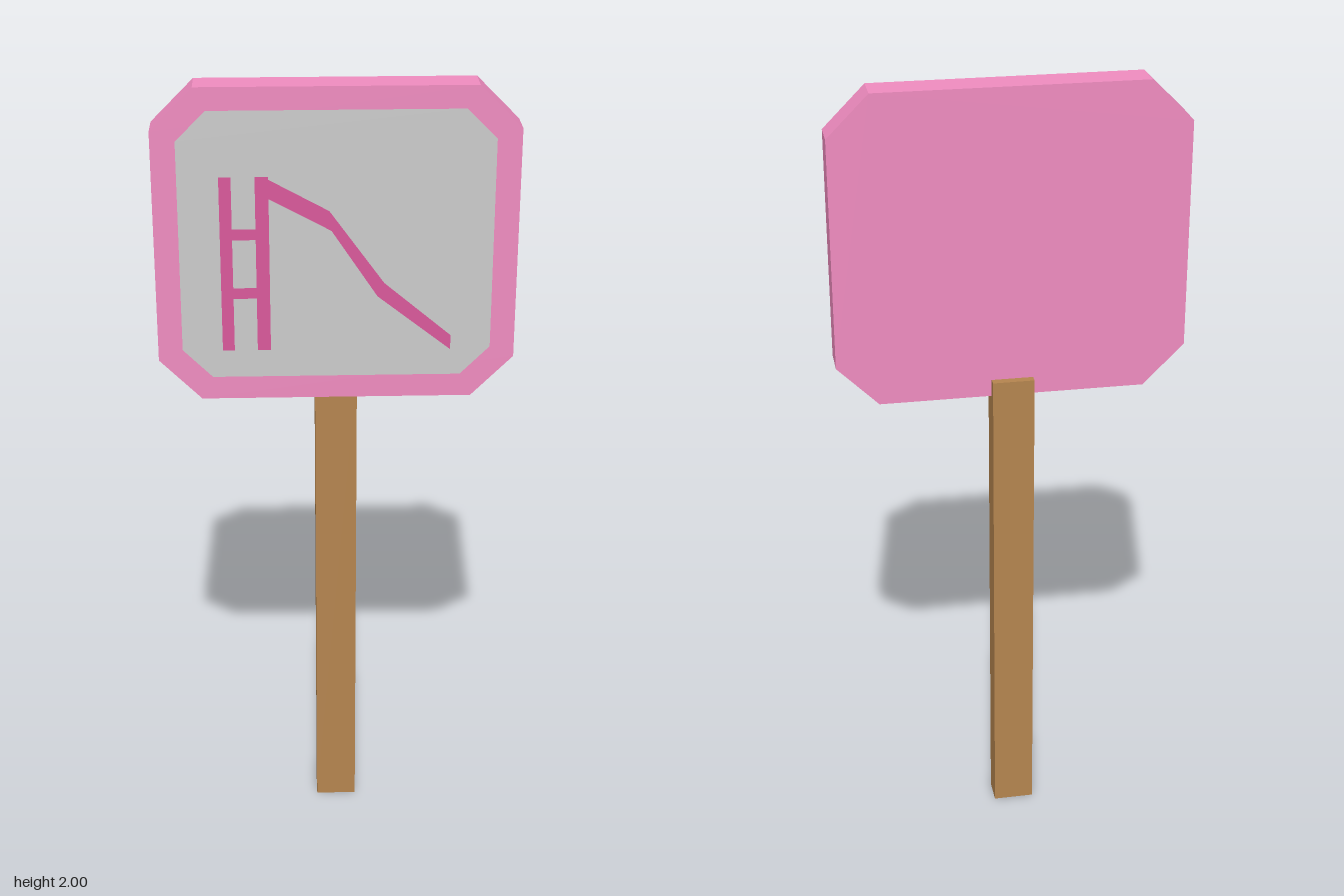
import * as THREE from 'three';

const FRONT = 0.052, BACK = -0.033;

const paint = (color) => new THREE.MeshStandardMaterial({ color, flatShading: true });

const polygon = (points) => new THREE.Shape(points.map(([x, y]) => new THREE.Vector2(x, y)));

// Rectangle with cut corners, centred on x = 0
function octagon(halfWidth, bottom, top, cut) {
  const w = halfWidth, c = halfWidth - cut;
  return polygon([
    [-c, bottom], [c, bottom], [w, bottom + cut], [w, top - cut],
    [c, top], [-c, top], [-w, top - cut], [-w, bottom + cut],
  ]);
}

function bar(x0, x1, y0, y1) {
  return polygon([[x0, y0], [x1, y0], [x1, y1], [x0, y1]]);
}

function add(group, name, geometry, material, z = 0) {
  const mesh = new THREE.Mesh(geometry, material);
  mesh.name = name;
  mesh.position.z = z;
  group.add(mesh);
  return mesh;
}

export function createModel() {
  const model = new THREE.Group();
  model.name = 'playgroundSign';
  const pink = paint(0xf08cc0), darkPink = paint(0xd9589b);
  const grey = paint(0xcccccc), wood = paint(0xb5854f);

  // Wooden post, let into the back of the board
  const post = add(model, 'post', new THREE.BoxGeometry(0.104, 1.265, 0.068), wood);
  post.position.set(0, 0.6325, -0.02);

  // Board with cut corners
  const board = new THREE.ExtrudeGeometry(octagon(0.434, 1.222, 2, 0.103),
    { depth: FRONT - BACK, bevelEnabled: false });
  add(model, 'board', board, pink, BACK);

  // Inset face panel
  add(model, 'panel', new THREE.ShapeGeometry(octagon(0.375, 1.28, 1.945, 0.072)), grey, FRONT + 0.001);

  // Slide pictogram: ladder rails, rungs and chute
  const pictogram = new THREE.Group();
  pictogram.name = 'slidePictogram';
  pictogram.position.z = FRONT + 0.002;
  model.add(pictogram);
  for (const [x0, x1] of [[-0.277, -0.248], [-0.192, -0.16]]) {
    add(pictogram, 'ladderRail', new THREE.ShapeGeometry(bar(x0, x1, 1.35, 1.787)), darkPink);
  }
  for (const y of [1.484, 1.632]) {
    add(pictogram, 'rung', new THREE.ShapeGeometry(bar(-0.248, -0.192, y, y + 0.027)), darkPink);
  }
  const chute = polygon([
    [-0.16, 1.733], [-0.012, 1.653], [0.099, 1.486], [0.278, 1.346],
    [0.278, 1.383], [0.115, 1.52], [-0.017, 1.702], [-0.16, 1.78],
  ]);
  add(pictogram, 'chute', new THREE.ShapeGeometry(chute), darkPink);

  return model;
}
